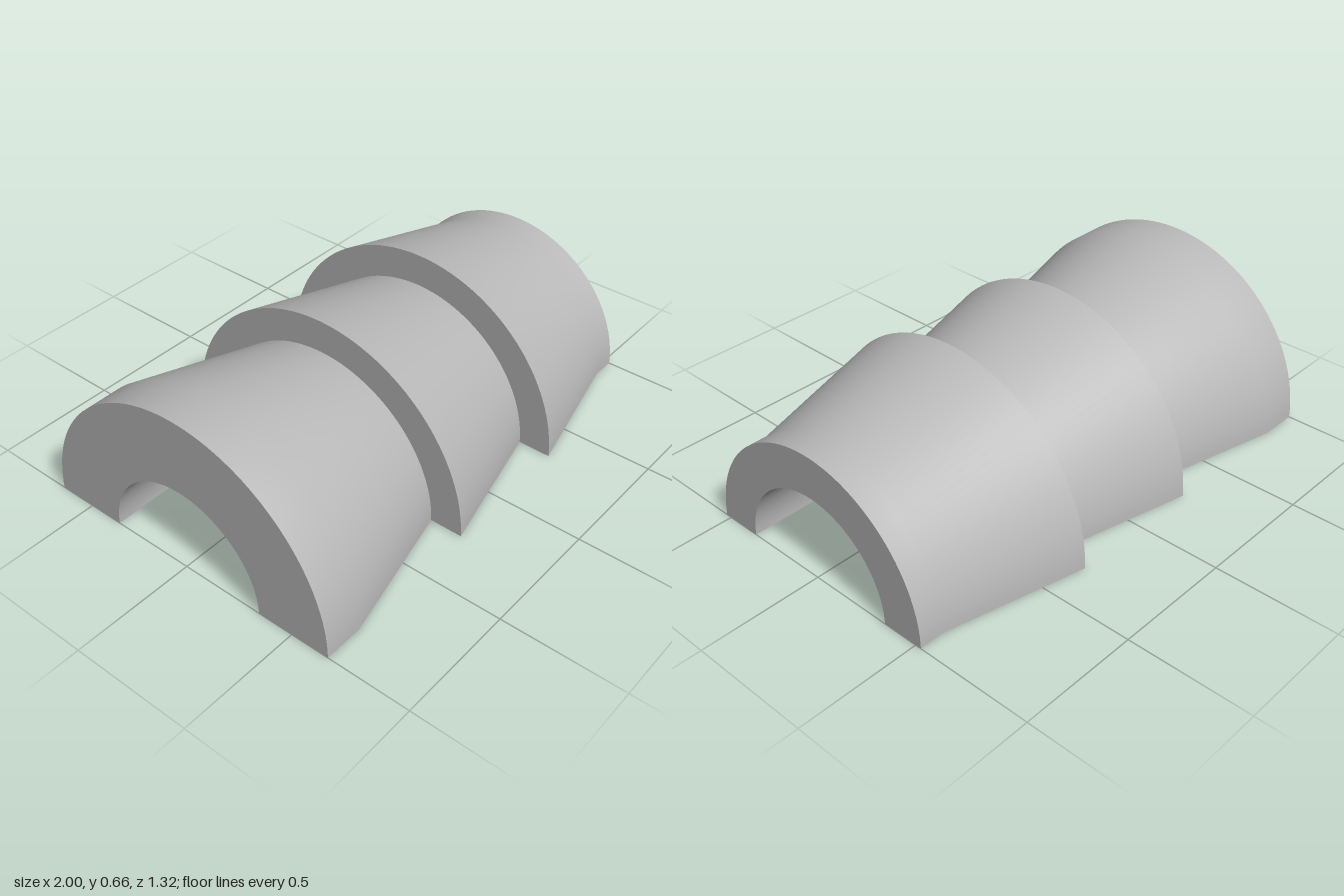
import * as THREE from 'three';
import { toCreasedNormals } from 'three/addons/utils/BufferGeometryUtils.js';

export function createModel() {
  const model = new THREE.Group();
  model.name = 'barbedHalfSleeve';
  const grey = new THREE.MeshStandardMaterial({ color: 0xb8b8b8 });
  grey.name = 'grey';

  const big = 0.66, small = 0.525, bore = 0.35;
  // Wall section as [position along x, radius]
  const section = [
    [-1, bore], [-1, big], [-0.84, big], [-0.26, small],
    [-0.26, big], [0.32, small],
    [0.32, big], [0.9, small], [1, small], [1, bore],
  ];

  const add = (name, geometry) => {
    const mesh = new THREE.Mesh(geometry, grey);
    mesh.name = name;
    model.add(mesh);
  };

  // Half turn of the closed wall section, with its axis laid along x
  const profile = [...section, section[0]].map(([x, r]) => new THREE.Vector2(r, x));
  const shell = new THREE.LatheGeometry(profile, 64, Math.PI, Math.PI);
  shell.rotateZ(-Math.PI / 2);
  add('sleeveShell', toCreasedNormals(shell, Math.PI / 6));

  // Flat cut faces on the ground, one each side
  for (const [name, side] of [['frontCutFace', 1], ['backCutFace', -1]]) {
    const shape = new THREE.Shape(section.map(([x, r]) => new THREE.Vector2(x, side * r)));
    add(name, new THREE.ShapeGeometry(shape).rotateX(Math.PI / 2));
  }
  return model;
}
